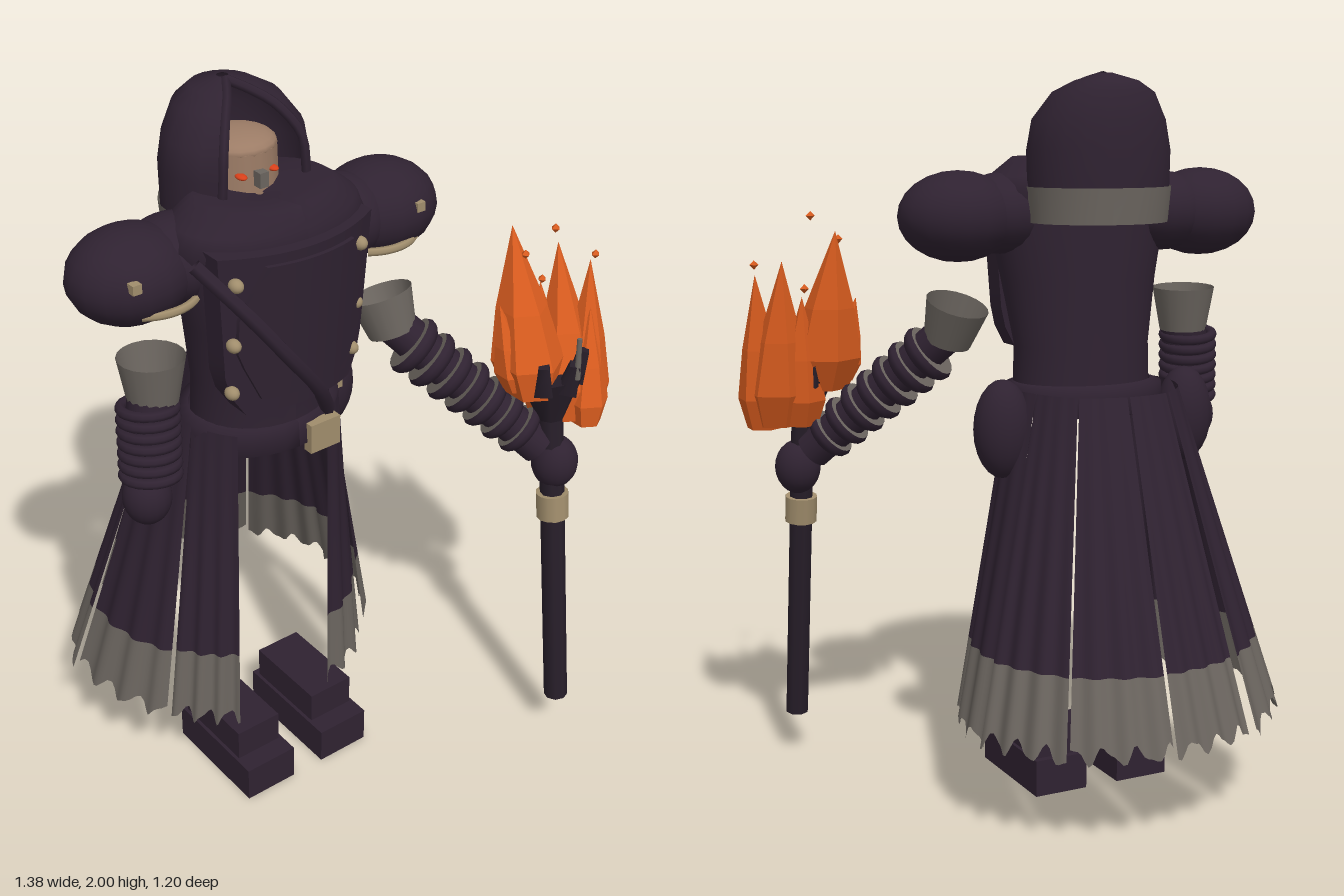
import * as THREE from 'three';

const mat = (name, color, side = THREE.FrontSide) => {
  const m = new THREE.MeshStandardMaterial({ color, side });
  m.name = name;
  return m;
};
const V = (x, y, z) => new THREE.Vector3(x, y, z);
const rad = THREE.MathUtils.degToRad, mix = THREE.MathUtils.lerp;
const CX = -0.165; // body axis

export function createModel() {
  const root = new THREE.Group();
  const cloth = mat('dark cloth', 0x2f2231, THREE.DoubleSide);
  const leather = mat('black leather', 0x271e29);
  const hem = mat('grey lining', 0x6b655f, THREE.DoubleSide);
  const brass = mat('old brass', 0xa08d6c);
  const skin = mat('skin', 0x9c7c66);
  const fire = mat('fire', 0xdb5d1f);
  const ember = mat('ember eyes', 0xd8401a);

  const add = (name, geo, m, pos, scale) => {
    const mesh = new THREE.Mesh(geo, m);
    mesh.name = name;
    if (pos) mesh.position.set(...pos);
    if (scale) mesh.scale.set(...scale);
    root.add(mesh);
    return mesh;
  };
  const box = (name, m, size, pos) => add(name, new THREE.BoxGeometry(...size), m, pos);
  const ball = (name, m, pos, scale) => add(name, new THREE.SphereGeometry(1, 18, 12), m, pos, scale);
  const rod = (name, m, a, b, r0, r1, sides = 12, open = false) => {
    const d = b.clone().sub(a);
    const mesh = add(name, new THREE.CylinderGeometry(r1, r0, d.length(), sides, 1, open), m);
    mesh.position.copy(a).add(b).multiplyScalar(0.5);
    mesh.quaternion.setFromUnitVectors(V(0, 1, 0), d.normalize());
  };
  // Grid surface from a rule fn(u, v) -> Vector3
  const surf = (name, m, nu, nv, fn) => {
    const p = [], idx = [];
    for (let j = 0; j <= nv; j++) for (let i = 0; i <= nu; i++) p.push(...fn(i / nu, j / nv).toArray());
    for (let j = 0; j < nv; j++) for (let i = 0; i < nu; i++) {
      const a = j * (nu + 1) + i, b = a + nu + 1;
      idx.push(a, a + 1, b, a + 1, b + 1, b);
    }
    const g = new THREE.BufferGeometry();
    g.setAttribute('position', new THREE.Float32BufferAttribute(p, 3));
    g.setIndex(idx);
    g.computeVertexNormals();
    add(name, g, m);
  };
  // Elliptic rows [y, centre z, x radius, z radius, half angle from the back]
  const loft = (name, m, rows, n = 32, cx = CX) => surf(name, m, n, rows.length - 1, (u, v) => {
    const [y, cz, rx, rz, half = 180] = rows[Math.round(v * (rows.length - 1))];
    const a = rad((u * 2 - 1) * half);
    return V(cx + rx * Math.sin(a), y, cz - rz * Math.cos(a));
  });

  // Boots
  for (const x of [-0.31, -0.05]) {
    box('bootFoot', cloth, [0.16, 0.105, 0.34], [x, 0.053, 0.09]);
    box('bootAnkle', cloth, [0.14, 0.095, 0.26], [x, 0.15, 0.07]);
  }

  // Skirt panels: angles from the back, then top and bottom radii at both edges
  const skirtPanel = (a0, a1, t0, t1, b0, b1, low) => {
    const point = (u, y) => {
      const s = (1.16 - y) / 0.88;
      const a = rad(mix(a0, a1, u));
      const r = mix(mix(t0, t1, u), mix(b0, b1, u), s) + 0.009 * Math.sin(u * 20 + a0) * s;
      return V(CX + r * Math.sin(a), y, -r * Math.cos(a));
    };
    const edge = u => low + 0.02 * Math.sin(u * 20 + a1) + 0.008 * Math.sin(u * 37);
    surf('skirtPanel', cloth, 28, 4, (u, v) => point(u, mix(1.16, 0.47, v)));
    surf('skirtHem', hem, 28, 3, (u, v) => point(u, mix(0.47, edge(u), v)));
  };
  skirtPanel(-21.5, 4, 0.28, 0.28, 0.575, 0.59, 0.285);
  skirtPanel(5.5, 32, 0.28, 0.28, 0.6, 0.58, 0.285);
  skirtPanel(-23.5, -60, 0.28, 0.25, 0.575, 0.53, 0.275);
  skirtPanel(32.8, 60, 0.28, 0.25, 0.575, 0.51, 0.275);
  skirtPanel(-60.5, -100, 0.25, 0.23, 0.515, 0.37, 0.27);
  skirtPanel(60.5, 99, 0.25, 0.23, 0.5, 0.36, 0.265);
  skirtPanel(-100.5, -134, 0.23, 0.23, 0.35, 0.28, 0.26);
  skirtPanel(99.5, 154, 0.23, 0.22, 0.32, 0.225, 0.25);

  // Torso, mantle and belt
  loft('torso', cloth, [[1.1, 0.03, 0.2, 0.16], [1.27, 0.03, 0.195, 0.155], [1.45, 0.05, 0.225, 0.17],
    [1.62, 0.06, 0.26, 0.18], [1.72, 0.06, 0.26, 0.175]]);
  loft('mantle', cloth, [[1.62, 0.06, 0.26, 0.18], [1.69, 0.06, 0.285, 0.185], [1.73, 0.06, 0.255, 0.175],
    [1.78, 0.06, 0.185, 0.15], [1.75, 0.04, 0.01, 0.01]]);
  loft('belt', cloth, [[1.08, 0.02, 0.2, 0.15], [1.09, 0.02, 0.235, 0.185], [1.16, 0.02, 0.23, 0.18],
    [1.17, 0.02, 0.2, 0.15]]);
  box('beltBuckle', brass, [0.095, 0.085, 0.03], [-0.092, 1.105, 0.205]);

  // Curved chest plates, narrowed towards the bottom
  const plate = (name, w, h, y, z, depth, taper) => {
    const g = new THREE.BoxGeometry(w, h, depth, 10, 8, 1), p = g.attributes.position;
    for (let i = 0; i < p.count; i++) {
      const t = p.getY(i) / h, x = p.getX(i) * taper(t);
      p.setX(i, x);
      p.setZ(i, p.getZ(i) - 1.3 * x * x + t * 0.03);
    }
    g.computeVertexNormals();
    add(name, g, cloth, [CX - 0.01, y, z]);
  };
  plate('chestFlap', 0.46, 0.45, 1.48, 0.225, 0.07, t => (t < -0.3 ? 0.95 + (t + 0.3) * 1.2 : 0.95 + t * 0.12));
  plate('chestPanel', 0.38, 0.38, 1.49, 0.267, 0.012, t => 1 - Math.max(0, Math.abs(t) - 0.15) * 0.9);
  for (const x of [-0.375, 0]) for (const y of [1.33, 1.47, 1.64])
    ball('coatStud', brass, [x, y, 0.205 + (y - 1.33) * 0.09], [0.018, 0.018, 0.022]);

  // Strap across the chest
  const strapPath = new THREE.CatmullRomCurve3([V(-0.45, 1.69, 0.17), V(-0.37, 1.58, 0.25), V(-0.26, 1.43, 0.285),
    V(-0.15, 1.29, 0.26), V(-0.07, 1.17, 0.2)]);
  add('chestStrap', new THREE.TubeGeometry(strapPath, 20, 0.02, 6), cloth);

  // Hood: open-fronted shell with a grey lower band and rolled rim
  const hoodX = -0.15;
  const hoodRows = [[1.69, -0.09, 0.197, 0.17, 138], [1.8, -0.09, 0.2, 0.172, 141], [1.88, -0.09, 0.185, 0.163, 141],
    [1.95, -0.115, 0.14, 0.125, 147], [1.98, -0.13, 0.085, 0.085, 152], [2.0, -0.13, 0.015, 0.015, 175]];
  loft('hood', cloth, hoodRows, 16, hoodX);
  loft('hoodBand', hem, [[1.61, -0.09, 0.193, 0.168, 105], [1.705, -0.09, 0.202, 0.175, 105]], 16, hoodX);
  for (const s of [-1, 1]) {
    const rim = hoodRows.map(([y, cz, rx, rz, half]) =>
      V(hoodX + s * rx * Math.sin(rad(half)), y - 0.008, cz - rz * Math.cos(rad(half))));
    add('hoodRim', new THREE.TubeGeometry(new THREE.CatmullRomCurve3(rim), 16, 0.013, 6), cloth);
  }

  // Face
  add('head', new THREE.CylinderGeometry(0.1, 0.105, 0.16, 16), skin, [-0.155, 1.77, -0.065]);
  ball('crown', skin, [-0.155, 1.85, -0.065], [0.1, 0.035, 0.1]);
  for (const x of [-0.21, -0.115]) ball('eye', ember, [x, 1.8, 0.027], [0.013, 0.007, 0.02]);
  box('noseGuard', hem, [0.026, 0.04, 0.03], [-0.163, 1.79, 0.045]);

  // Shoulder pads with trim and studs
  for (const [x, z, s] of [[-0.525, 0, -1], [0.195, 0.06, 1]]) {
    ball('shoulderPad', cloth, [x, 1.625, z], [0.165, 0.122, 0.145]);
    ball('shoulderJoint', cloth, [x - s * 0.13, 1.63, z], [0.14, 0.11, 0.13]);
    const trim = add('shoulderTrim', new THREE.TorusGeometry(0.13, 0.011, 6, 16, Math.PI * 0.4), brass,
      [x - s * 0.04, 1.565, z + 0.005]);
    trim.rotation.set(Math.PI / 2, 0, 0.95);
    box('shoulderStud', brass, [0.025, 0.025, 0.025], [x + (s < 0 ? -0.065 : 0.03), 1.66, z + 0.13]);
  }

  // Open sleeve cuffs, forearms and hands
  const arm = (cuffTop, cuffEnd, wrist, hand, r) => {
    rod('sleeveCuff', hem, cuffEnd, cuffTop, 0.066, 0.088, 18, true);
    rod('forearm', cloth, wrist, cuffEnd.clone().lerp(cuffTop, 0.3), r, r, 16);
    ball('hand', cloth, hand.toArray(), [0.065, 0.078, 0.065]);
  };

  // Right arm: tight wrapped forearm
  const wrapTop = V(-0.525, 1.27, 0.05), wrapEnd = V(-0.542, 1.09, 0.075);
  arm(V(-0.505, 1.408, 0.045), V(-0.508, 1.285, 0.05), wrapEnd, V(-0.56, 1.03, 0.08), 0.066);
  for (let i = 0; i < 7; i++) {
    const wrap = add('forearmWrap', new THREE.TorusGeometry(0.07, 0.014, 8, 20), cloth);
    wrap.position.lerpVectors(wrapTop, wrapEnd, i / 6);
    wrap.quaternion.setFromUnitVectors(V(0, 0, 1), wrapEnd.clone().sub(wrapTop).normalize());
  }

  // Left arm: stacked flared bands, each with a grey face towards the elbow
  const bandTop = V(0.235, 1.24, 0.185), bandEnd = V(0.45, 1.0, 0.39);
  arm(V(0.18, 1.385, 0.1), V(0.195, 1.28, 0.14), V(0.49, 0.95, 0.43), V(0.525, 0.9, 0.46), 0.055);
  const bandProfile = [[0.05, -0.024], [0.07, -0.022], [0.083, -0.008], [0.086, 0.006], [0.08, 0.018]]
    .map(([x, y]) => new THREE.Vector2(x, y));
  const bandFace = new THREE.RingGeometry(0.045, 0.08, 20).rotateX(-Math.PI / 2).translate(0, 0.018, 0);
  for (let i = 0; i < 7; i++) {
    for (const [name, geo, m] of [['forearmBand', new THREE.LatheGeometry(bandProfile, 20), cloth],
      ['bandLining', bandFace, hem]]) {
      const band = add(name, geo, m);
      band.position.lerpVectors(bandTop, bandEnd, i / 6);
      band.quaternion.setFromUnitVectors(V(0, 1, 0), bandTop.clone().sub(bandEnd).normalize());
      band.scale.setScalar(1 - i * 0.02);
    }
  }

  // Hip pouches
  for (const x of [-0.45, 0.12]) {
    ball('hipPouch', cloth, [x, 1.06, -0.055], [0.08, 0.135, 0.075]);
    box('pouchClasp', brass, [0.035, 0.03, 0.02], [x - 0.025, 1.1, 0.022]);
  }

  // Torch: shaft, collar, pronged basket
  const onShaft = y => V(0.512, y, 0.582 - y * 0.133);
  rod('torchShaft', leather, onShaft(0.13), onShaft(1.08), 0.034, 0.034, 8);
  rod('torchCollar', brass, onShaft(0.735), onShaft(0.81), 0.046, 0.046, 12);
  rod('torchBasket', leather, onShaft(1.04), onShaft(1.17), 0.036, 0.092, 8);
  for (let i = 0; i < 6; i++) {
    const a = i * Math.PI / 3, c = onShaft(1.15), d = V(Math.sin(a), 0, Math.cos(a));
    rod('basketProng', leather, c.clone().addScaledVector(d, 0.065),
      c.clone().addScaledVector(d, 0.085).add(V(0, 0.09, 0)), 0.035, 0.02, 4);
  }
  rod('basketSpike', hem, V(0.512, 1.2, 0.525), V(0.512, 1.32, 0.52), 0.009, 0.007, 6);

  // Faceted flames [base, tip, radius], leaning backwards
  const flames = [
    [0.46, 1.13, 0.41, 0.455, 1.58, 0.3, 0.1], [0.415, 1.15, 0.4, 0.38, 1.39, 0.35, 0.052],
    [0.585, 1.03, 0.44, 0.6, 1.5, 0.33, 0.09], [0.62, 1.02, 0.46, 0.655, 1.46, 0.4, 0.07],
    [0.53, 1.03, 0.41, 0.545, 1.4, 0.33, 0.07], [0.6, 1.02, 0.49, 0.63, 1.34, 0.44, 0.06]];
  for (const [x, y, z, tx, ty, tz, r] of flames) {
    const h = ty - y;
    const prof = [[0, 0], [0.7, 0], [1, 0.2], [0.7, 0.52], [0, 1]].map(([a, b]) => new THREE.Vector2(a * r, b * h));
    const g = new THREE.LatheGeometry(prof, 6).toNonIndexed();
    const p = g.attributes.position;
    for (let i = 0; i < p.count; i++) {
      const t = p.getY(i) / h;
      p.setX(i, p.getX(i) + (tx - x) * t);
      p.setZ(i, p.getZ(i) + (tz - z) * t);
    }
    g.computeVertexNormals();
    add('flame', g, fire, [x, y, z]);
  }
  for (const p of [[0.41, 1.55, 0.4], [0.48, 1.615, 0.43], [0.53, 1.42, 0.35], [0.65, 1.485, 0.42]])
    add('spark', new THREE.OctahedronGeometry(0.013), fire, p);

  return root;
}
